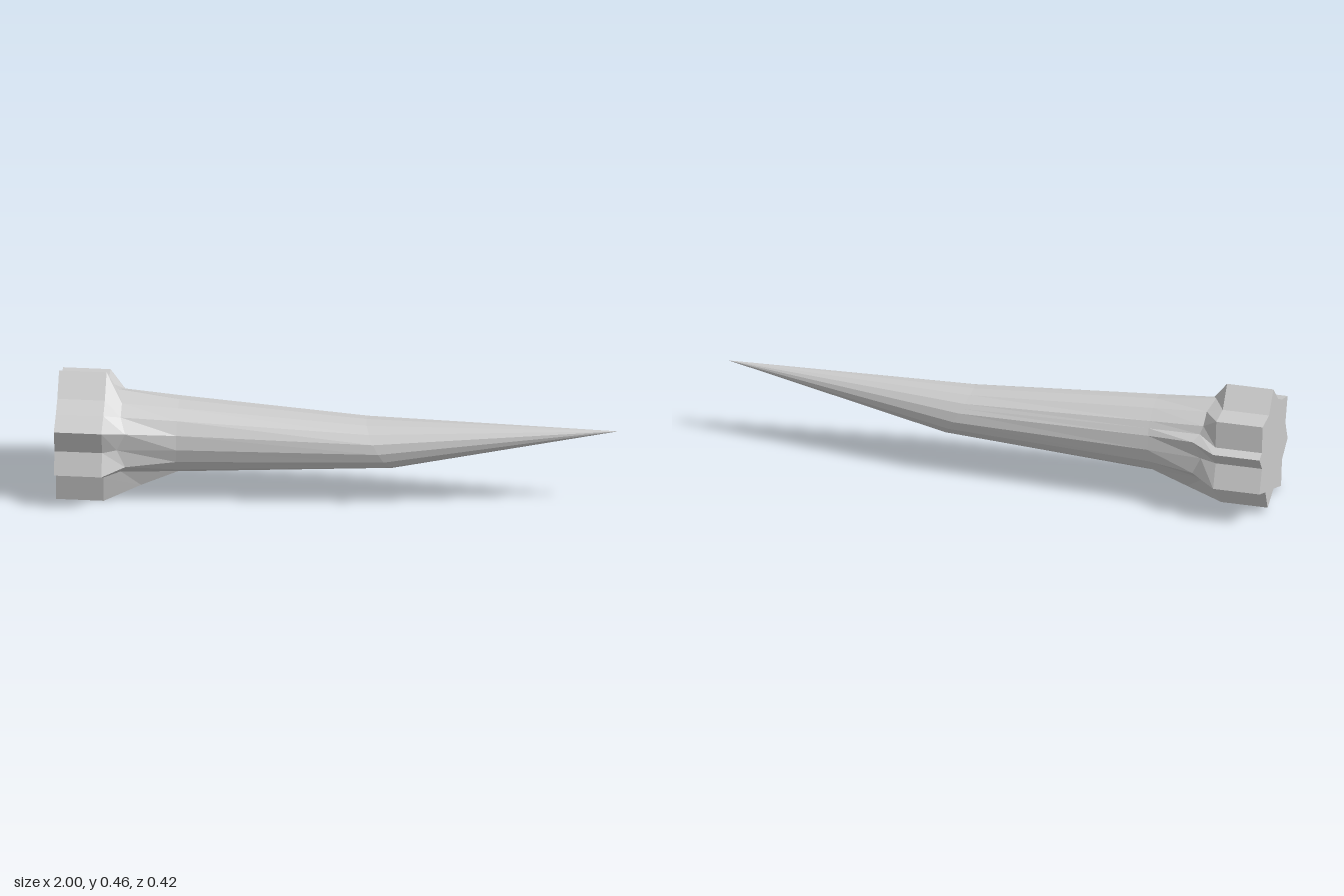
import * as THREE from 'three';

const CY = 0.225; // height of the horn's axis at its root

// Star outline of the root: [angle in degrees, z, y, x of inner flare ring, radius there]
const STAR = [
  [0, 0, 0.456, -0.79, 0.166],
  [22.5, -0.065, 0.385, -0.77, 0.152],
  [45, -0.16, 0.388, -0.77, 0.155],
  [56.25, -0.173, 0.29, -0.76, 0.15],
  [67.5, -0.207, 0.278, -0.74, 0.165],
  [90, -0.17, 0.224, -0.77, 0.15],
  [112.5, -0.208, 0.14, -0.74, 0.165],
  [135, -0.12, 0.1, -0.77, 0.152],
  [157.5, -0.087, 0.02, -0.7, 0.18],
  [180, 0, 0.05, -0.76, 0.152],
  [202.5, 0.113, 0, -0.7, 0.19],
  [225, 0.127, 0.1, -0.77, 0.152],
  [247.5, 0.21, 0.142, -0.75, 0.17],
  [270, 0.178, 0.223, -0.78, 0.155],
  [292.5, 0.21, 0.314, -0.75, 0.17],
  [315, 0.128, 0.345, -0.77, 0.152],
  [337.5, 0.07, 0.378, -0.77, 0.15],
];

// Point on a ring around the axis
function ringPoint(x, deg, ry, rz, cy, tilt = 0) {
  const a = THREE.MathUtils.degToRad(deg);
  const flat = deg === 56.25 ? Math.cos(Math.PI / 16) : 1; // stays on the 16-sided outline
  const c = Math.cos(a) * flat, s = Math.sin(a) * flat;
  return [x - tilt * c, cy + ry * c, -rz * s];
}

// Joins successive loops with outward facing quads
function loft(rings) {
  const n = rings[0].length, index = [];
  for (let r = 0; r < rings.length - 1; r++) {
    for (let i = 0; i < n; i++) {
      const j = (i + 1) % n;
      const a = r * n + i, b = r * n + j, c = a + n, d = b + n;
      index.push(a, c, b, b, c, d);
    }
  }
  const geo = new THREE.BufferGeometry();
  geo.setAttribute('position', new THREE.Float32BufferAttribute(rings.flat(2), 3));
  geo.setIndex(index);
  const flatGeo = geo.toNonIndexed();
  flatGeo.computeVertexNormals();
  return flatGeo;
}

export function createModel() {
  const group = new THREE.Group();
  group.name = 'spike';
  const material = new THREE.MeshStandardMaterial({ color: 0xcccccc, flatShading: true });
  const add = (name, rings) => {
    const mesh = new THREE.Mesh(loft(rings), material);
    mesh.name = name;
    group.add(mesh);
  };

  const center = STAR.map(() => [-1, CY, 0]);
  const back = STAR.map(([, z, y]) => [-1, y, z]);
  const front = STAR.map(([, z, y]) => [-0.83, y, z]);
  const flare = STAR.map(([deg, , , x, r]) => ringPoint(x, deg, r, r, CY));
  const neck = STAR.map(([deg]) => ringPoint(-0.57, deg, 0.136, 0.136, CY));
  const bend = STAR.map(([deg]) => ringPoint(0.15, deg, 0.0885, 0.105, 0.2235, 0.05));
  const tip = STAR.map(() => [1, 0.304, 0]);

  // Star-shaped root block with its closed end
  add('root', [center, back, front]);
  // Ridges fading into the shaft
  add('flare', [front, flare, neck]);
  // Tapering shaft and upturned point
  add('shaft', [neck, bend]);
  add('point', [bend, tip]);
  return group;
}
